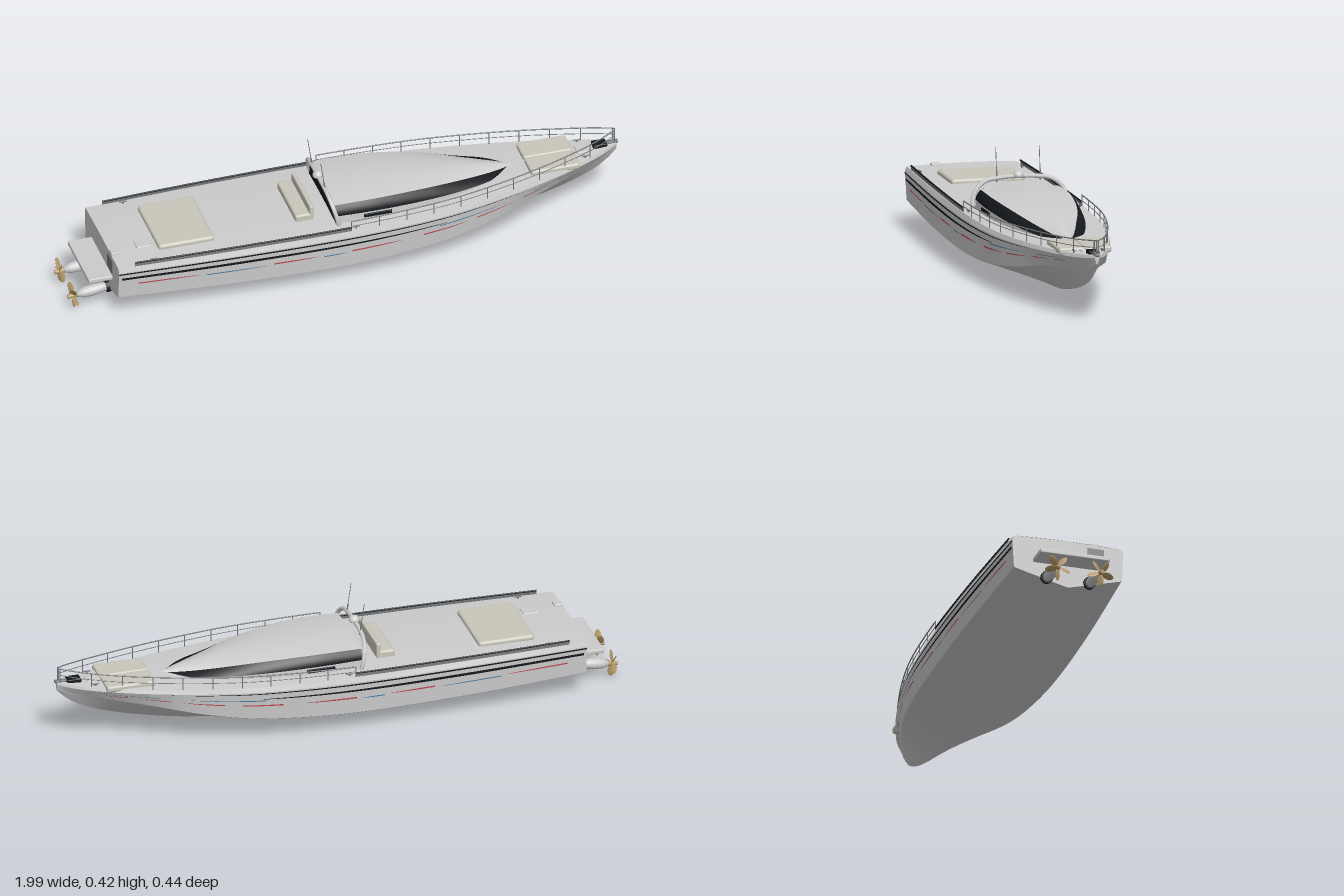
import * as THREE from 'three';
import { ParametricGeometry } from 'three/addons/geometries/ParametricGeometry.js';
import { RoundedBoxGeometry } from 'three/addons/geometries/RoundedBoxGeometry.js';

const GREY = 0xcccccc, BLACK = 0x15181c, BEIGE = 0xc9c6ba, BRONZE = 0xb59a6a, RED = 0xc04550, BLUE = 0x4a7fa5, STEEL = 0x777a7d;
const V = (x, y, z) => new THREE.Vector3(x, y, z);

// Hull stations: x, keel y, chine z/y, rub z/y, sheer z/y, deck centre y
const HULL = [
  [-0.85, 0.045, 0.19, 0.095, 0.2, 0.2, 0.195, 0.215, 0.22],
  [-0.4, 0.025, 0.208, 0.083, 0.217, 0.2, 0.21, 0.217, 0.223],
  [0, 0.02, 0.21, 0.08, 0.219, 0.2, 0.213, 0.218, 0.226],
  [0.3, 0.025, 0.19, 0.095, 0.203, 0.204, 0.197, 0.22, 0.228],
  [0.5, 0.04, 0.155, 0.123, 0.17, 0.209, 0.165, 0.224, 0.23],
  [0.7, 0.08, 0.095, 0.162, 0.122, 0.218, 0.117, 0.231, 0.235],
  [0.85, 0.125, 0.045, 0.186, 0.073, 0.226, 0.069, 0.238, 0.241],
  [0.94, 0.17, 0.018, 0.203, 0.036, 0.234, 0.033, 0.245, 0.247],
  [0.99, 0.218, 0.003, 0.222, 0.008, 0.242, 0.006, 0.25, 0.251],
];
// Cabin stations: x, base z, sill z/y, roof edge z/y, crown y
const CABIN = [
  [-0.06, 0.158, 0.156, 0.25, 0.138, 0.284, 0.295],
  [0.1, 0.16, 0.157, 0.248, 0.138, 0.285, 0.298],
  [0.3, 0.137, 0.135, 0.24, 0.11, 0.272, 0.288],
  [0.45, 0.1, 0.099, 0.232, 0.066, 0.25, 0.267],
  [0.55, 0.06, 0.059, 0.228, 0.032, 0.237, 0.249],
  [0.62, 0.003, 0.002, 0.226, 0.001, 0.23, 0.232],
];

// Smooth interpolation of one table column at x
function at(table, col, x) {
  let i = 0;
  while (i < table.length - 2 && x > table[i + 1][0]) i++;
  const slope = k => {
    const a = table[Math.max(k - 1, 0)], b = table[Math.min(k + 1, table.length - 1)];
    return (b[col] - a[col]) / (b[0] - a[0]);
  };
  const p = table[i], q = table[i + 1], h = q[0] - p[0], t = (x - p[0]) / h, t2 = t * t, t3 = t2 * t;
  return (2 * t3 - 3 * t2 + 1) * p[col] + (t3 - 2 * t2 + t) * h * slope(i)
    + (3 * t2 - 2 * t3) * q[col] + (t3 - t2) * h * slope(i + 1);
}

const mats = {};
const mat = color => mats[color] ??= new THREE.MeshStandardMaterial({ color, side: THREE.DoubleSide });

export function createModel() {
  const boat = new THREE.Group();
  boat.name = 'motorYacht';

  const add = (name, geo, color = GREY, x = 0, y = 0, z = 0, parent = boat) => {
    const m = new THREE.Mesh(geo, mat(color));
    m.name = name;
    m.position.set(x, y, z);
    parent.add(m);
    return m;
  };
  const box = (name, x0, x1, y0, y1, w, color = GREY, z = 0, r = 0.004) =>
    add(name, new RoundedBoxGeometry(x1 - x0, y1 - y0, w, 2, r), color, (x0 + x1) / 2, (y0 + y1) / 2, z);
  const tube = (name, pts, r, color = STEEL, n = 40) =>
    add(name, new THREE.TubeGeometry(new THREE.CatmullRomCurve3(pts), n, r, 8), color);
  const surface = (name, f, color, nu = 64, nv = 1) =>
    add(name, new ParametricGeometry((u, v, p) => p.copy(f(u, v)), nu, nv), color);
  // Surface between two lines running along the boat, each x -> [z, y]
  const strip = (name, x0, x1, a, b, color, bulge = 0, nv = 6) => surface(name, (u, v) => {
    const x = x0 + (x1 - x0) * u, p = a(x), q = b(x);
    return V(x, p[1] + (q[1] - p[1]) * v, p[0] + (q[0] - p[0]) * v + bulge * 4 * v * (1 - v) * p[0]);
  }, color, 64, nv);
  const cap = (name, x, pts, color) => {
    const all = [...pts, ...pts.slice().reverse().map(([z, y]) => [-z, y])];
    const s = new THREE.Shape(all.map(([z, y]) => new THREE.Vector2(-z, y)));
    add(name, new THREE.ShapeGeometry(s), color, x).rotation.y = Math.PI / 2;
  };
  const h = (c, x) => at(HULL, c, x), c = (k, x) => at(CABIN, k, x);

  // Hull, deck and hull side stripes
  for (const s of [1, -1]) {
    const keel = x => [0, h(1, x)], chine = x => [s * h(2, x), h(3, x)];
    const step = x => [s * (h(2, x) + 0.004 * Math.min(1, (0.99 - x) * 5)), h(3, x) + 0.003];
    const rub = x => [s * h(4, x), h(5, x)], sheer = x => [s * h(6, x), h(7, x)];
    strip('hullBottom', -0.85, 0.99, keel, chine, GREY);
    strip('chineStep', -0.85, 0.99, chine, step, GREY, 0, 1);
    strip('topside', -0.85, 0.99, step, rub, GREY);
    strip('gunwale', -0.85, 0.99, rub, sheer, GREY, 0, 2);
    surface('deck', (u, v) => {
      const x = -0.85 + 1.84 * u, z = 1 - v;
      return V(x, h(8, x) + (h(7, x) - h(8, x)) * z * z, s * z * h(6, x));
    }, GREY, 64, 10);

    const side = (x, t) => {
      const p = step(x), q = rub(x);
      return [p[0] + (q[0] - p[0]) * t + s * 0.0012, p[1] + (q[1] - p[1]) * t];
    };
    const stripe = (name, x0, x1, t, w, color) => {
      const taper = x => w * Math.sqrt(Math.max(0.02, Math.min(1, (x1 - x) / (x1 - x0) * 1.6)));
      strip(name, x0, x1, x => side(x, t - taper(x) / 2), x => side(x, t + taper(x) / 2), color, 0, 1);
    };
    stripe('upperStripe', -0.85, 0.62, 0.94, 0.05, BLACK);
    stripe('middleStripe', -0.84, 0.32, 0.74, 0.085, BLACK);
    for (const [a, b] of [[-0.78, -0.56], [-0.3, -0.14], [-0.02, 0.16], [0.24, 0.4], [0.44, 0.58], [0.62, 0.72], [0.76, 0.84]])
      stripe('redStripe', a, b, 0.5, 0.045, RED);
    for (const [a, b] of [[-0.54, -0.32], [-0.12, -0.04], [0.3, 0.56], [0.66, 0.84]])
      stripe('blueStripe', a, b, a > 0.2 ? 0.68 : 0.47, 0.035, BLUE);

    // Side rail aft, guard rail forward
    const edge = (x, up, inset = 0.004) => V(x, h(7, x) + up, s * Math.max(0, h(6, x) - inset));
    const along = (x0, x1, up) => Array.from({ length: 16 }, (_, i) => edge(x0 + (x1 - x0) * i / 15, typeof up === 'function' ? up(i / 15) : up));
    strip('aftBulwark', -0.79, -0.02, x => [s * (h(6, x) - 0.003), h(7, x) - 0.002], x => [s * (h(6, x) - 0.004), h(7, x) + 0.014], STEEL, 0, 1);
    tube('aftHandrail', along(-0.79, -0.02, 0.014), 0.003, BLACK);
    tube('topRail', along(-0.02, 0.985, t => 0.038 + 0.014 * t), 0.0022);
    tube('midRail', along(-0.02, 0.985, t => 0.019 + 0.009 * t), 0.0014);
    for (let i = 0; i <= 10; i++) {
      const x = -0.02 + i * 0.1;
      tube('railPost', [edge(x, -0.002), edge(x, 0.038 + 0.0014 * i)], 0.0018, STEEL, 1);
    }

    // Mooring cleats
    for (const [x, z] of [[-0.72, 0.18], [0, 0.198], [0.865, 0.05]]) {
      const y = h(7, x) + 0.008;
      tube('cleat', [V(x - 0.013, y, s * z), V(x + 0.013, y, s * z)], 0.0025, STEEL, 1);
      tube('cleatFoot', [V(x, y - 0.01, s * z), V(x, y, s * z)], 0.003, STEEL, 1);
    }

    // Cabin side wall, vent, window band
    const base = x => [s * c(1, x), 0.214], sill = x => [s * c(2, x), c(3, x)], eave = x => [s * c(4, x), c(5, x)];
    strip('cabinWall', -0.06, 0.62, base, sill, GREY);
    strip('sideWindow', -0.06, 0.62, sill, eave, BLACK, 0.03);
    box('sideVent', 0.04, 0.14, 0.23, 0.243, 0.006, BLACK, s * 0.16, 0.002);
  }
  cap('transom', -0.85, [[0, 0.045], [0.19, 0.095], [0.194, 0.098], [0.2, 0.2], [0.195, 0.215], [0, 0.22]], GREY);
  cap('stem', 0.99, [[0, 0.218], [0.003, 0.222], [0.008, 0.242], [0.006, 0.25], [0, 0.251]], GREY);

  // Cabin roof and aft bulkhead
  surface('cabinRoof', (u, v) => {
    const x = -0.06 + 0.68 * u, k = 2 * v - 1, z = c(4, x) * k;
    return V(x, c(5, x) + (c(6, x) - c(5, x)) * (1 - k * k), z);
  }, GREY, 48, 16);
  cap('cabinBulkhead', -0.06, [[0, 0.214], [0.158, 0.214], [0.156, 0.25], [0.138, 0.284], [0.07, 0.292], [0, 0.295]], BLACK);

  // Radar arch with dome and aerials
  const arch = [[0.168, 0.213], [0.166, 0.25], [0.15, 0.285], [0.115, 0.311], [0.06, 0.32], [0, 0.322]];
  const archPt = ([z, y], s) => V(-0.05 - (y - 0.213) * 0.25, y, s * z);
  tube('radarArch', [...arch.map(p => archPt(p, 1)), ...arch.slice(0, -1).reverse().map(p => archPt(p, -1))], 0.0075, GREY, 64);
  add('radarDome', new THREE.SphereGeometry(0.019, 24, 12, 0, Math.PI * 2, 0, Math.PI / 2), GREY, -0.077, 0.323, 0);
  add('radarBase', new THREE.CylinderGeometry(0.019, 0.015, 0.008, 24), GREY, -0.077, 0.322, 0);
  for (const s of [1, -1]) {
    tube('aerialBase', [V(-0.073, 0.305, s * 0.077), V(-0.079, 0.345, s * 0.077)], 0.0025, STEEL, 1);
    tube('aerial', [V(-0.078, 0.34, s * 0.077), V(-0.09, 0.424, s * 0.077)], 0.0013, STEEL, 1);
  }

  // Sun pads, bench and deck hatches
  box('aftSunPad', -0.685, -0.485, 0.212, 0.236, 0.26, BEIGE, 0, 0.01);
  for (const s of [1, -1]) box('bowSunPad', 0.66, 0.835, 0.226, 0.249, 0.093, BEIGE, s * 0.0465, 0.008);
  box('benchSeat', -0.19, -0.125, 0.215, 0.247, 0.22, BEIGE, 0, 0.008);
  box('benchBack', -0.14, -0.124, 0.22, 0.277, 0.22, BEIGE, 0, 0.006);
  box('aftHatch', -0.755, -0.7, 0.215, 0.224, 0.05, GREY, 0.075);
  box('sternStep', -0.85, -0.82, 0.212, 0.226, 0.035, GREY, 0.095);
  box('bowHatch', 0.845, 0.885, 0.232, 0.246, 0.05, GREY);

  // Windlass, anchor roller and bow staff
  box('windlass', 0.905, 0.955, 0.236, 0.258, 0.036, BLACK);
  box('anchorRoller', 0.95, 0.997, 0.246, 0.256, 0.016, STEEL);
  tube('bowStaff', [V(0.985, 0.245, 0), V(0.985, 0.304, 0)], 0.0025, STEEL, 1);

  // Swim platform and transom fittings
  box('swimPlatform', -0.935, -0.845, 0.125, 0.141, 0.25, GREY);
  box('transomDoor', -0.853, -0.847, 0.15, 0.205, 0.06, STEEL, 0.1, 0.002);

  // Stern drives with five-bladed propellers
  for (const s of [1, -1]) {
    const drive = new THREE.Group();
    drive.name = 'sternDrive';
    drive.position.set(-0.85, 0.072, s * 0.077);
    drive.rotation.z = 0.13;
    boat.add(drive);
    const body = [[0, 0], [0.014, 0], [0.017, 0.03], [0.02, 0.06], [0.018, 0.09], [0.011, 0.112], [0, 0.114]];
    add('driveBody', new THREE.LatheGeometry(body.map(p => new THREE.Vector2(...p)), 20), GREY, 0, 0, 0, drive).rotation.z = Math.PI / 2;
    add('driveCollar', new THREE.CylinderGeometry(0.022, 0.022, 0.014, 20), BLACK, -0.004, 0, 0, drive).rotation.z = Math.PI / 2;
    add('propellerHub', new THREE.CylinderGeometry(0.007, 0.01, 0.04, 16), BRONZE, -0.128, 0, 0, drive).rotation.z = Math.PI / 2;
    for (let i = 0; i < 5; i++) {
      const arm = new THREE.Group();
      arm.position.x = -0.128;
      arm.rotation.x = s * (i * Math.PI * 2 / 5 + Math.PI);
      drive.add(arm);
      const blade = add('propellerBlade', new THREE.SphereGeometry(1, 14, 10), BRONZE, 0, 0.027, 0, arm);
      blade.scale.set(0.002, 0.021, 0.013);
      blade.rotation.y = s * 0.75;
    }
  }
  return boat;
}
